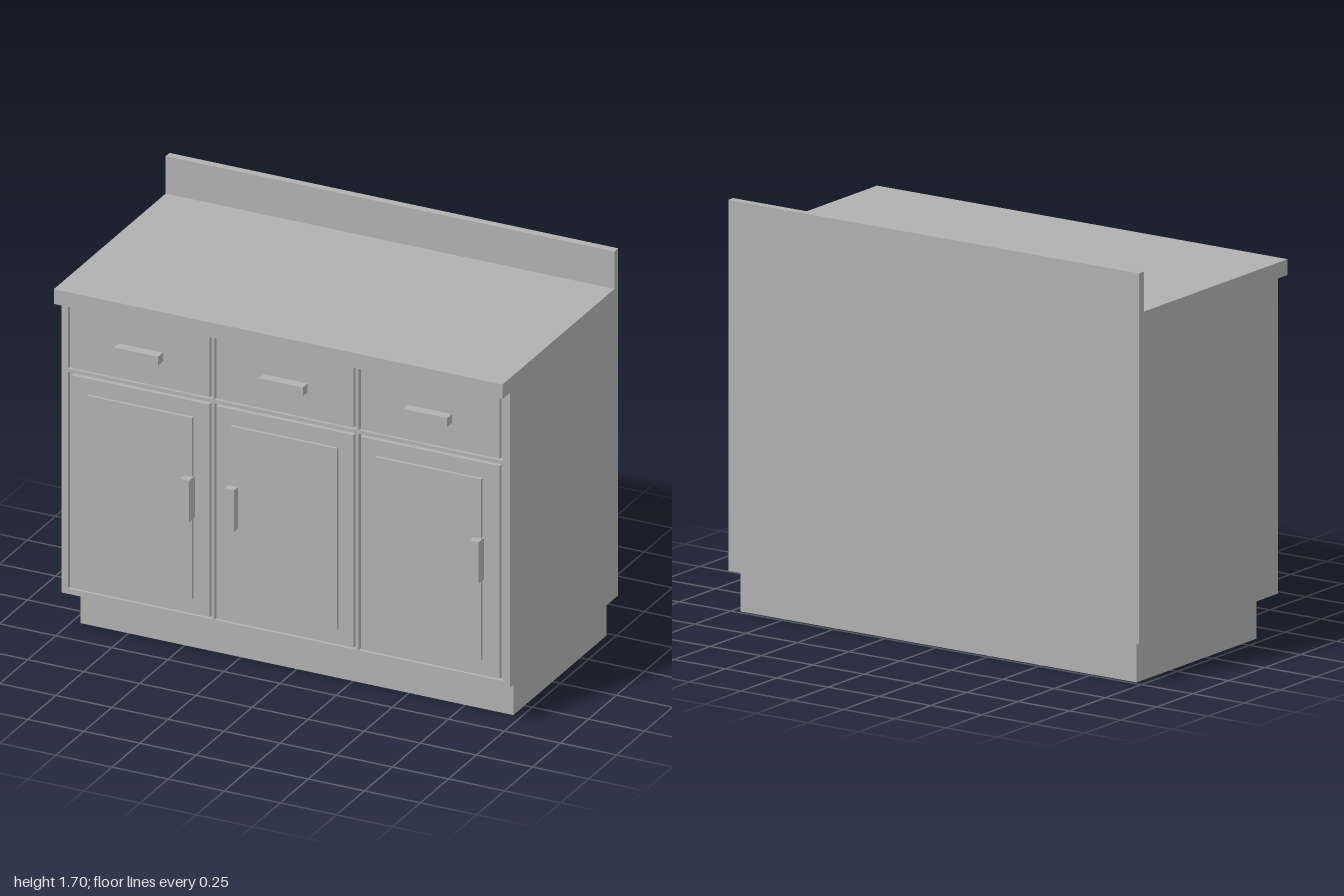
import * as THREE from 'three';

export function createModel() {
  const model = new THREE.Group();
  model.name = 'baseCabinet';
  const grey = new THREE.MeshStandardMaterial({ color: 0xb0b0b0 });
  grey.name = 'grey';
  const greyOpen = grey.clone();
  greyOpen.side = THREE.DoubleSide;

  // Box given by its minimum and maximum on each axis
  function box(name, x0, x1, y0, y1, z0, z1, parent = model) {
    const mesh = new THREE.Mesh(new THREE.BoxGeometry(x1 - x0, y1 - y0, z1 - z0), grey);
    mesh.position.set((x0 + x1) / 2, (y0 + y1) / 2, (z0 + z1) / 2);
    mesh.name = name;
    parent.add(mesh);
    return mesh;
  }

  function rectangle(PathType, x0, x1, y0, y1) {
    const p = new PathType();
    p.moveTo(x0, y0);
    p.lineTo(x1, y0);
    p.lineTo(x1, y1);
    p.lineTo(x0, y1);
    p.closePath();
    return p;
  }

  const back = -0.517, recess = 0.43, face = 0.45;

  // Carcass, worktop and upstand
  box('carcass', -1, 1, 0.17, 1.47, back, recess);
  box('worktop', -1, 1, 1.47, 1.535, back, 0.517);
  box('backsplash', -1, 1, 1.535, 1.7, back, -0.483);

  // Toe kick: four thin walls, open underneath
  const kick = new THREE.Group();
  kick.name = 'toeKick';
  model.add(kick);
  const kx = 0.965, kz0 = -0.483, kz1 = 0.35, kh = 0.17;
  function kickWall(name, width, x, z, turn) {
    const wall = new THREE.Mesh(new THREE.PlaneGeometry(width, kh), greyOpen);
    wall.position.set(x, kh / 2, z);
    wall.rotation.y = turn;
    wall.name = name;
    kick.add(wall);
  }
  kickWall('kickFront', 2 * kx, 0, kz1, 0);
  kickWall('kickBack', 2 * kx, 0, kz0, Math.PI);
  for (const s of [-1, 1]) {
    kickWall(s > 0 ? 'kickLeft' : 'kickRight', kz1 - kz0, s * kx, (kz0 + kz1) / 2, s * Math.PI / 2);
  }

  // Three bays: opening, door, raised panel and handle extents in x
  const bays = [
    { open: [-0.97, -0.328], door: [-0.955, -0.34], panel: [-0.88, -0.41], pull: -0.425, drawerPull: -0.645 },
    { open: [-0.318, 0.312], door: [-0.308, 0.302], panel: [-0.24, 0.235], pull: -0.225, drawerPull: 0 },
    { open: [0.325, 0.968], door: [0.335, 0.953], panel: [0.405, 0.877], pull: 0.865, drawerPull: 0.643 },
  ];

  // Face frame with one drawer hole and one door hole per bay
  const frame = rectangle(THREE.Shape, -1, 1, 0.17, 1.47);
  for (const { open } of bays) {
    frame.holes.push(rectangle(THREE.Path, open[0], open[1], 1.163, 1.443));
    frame.holes.push(rectangle(THREE.Path, open[0], open[1], 0.193, 1.148));
  }
  const frameMesh = new THREE.Mesh(
    new THREE.ExtrudeGeometry(frame, { depth: face - recess, bevelEnabled: false }), grey);
  frameMesh.position.z = recess;
  frameMesh.name = 'faceFrame';
  model.add(frameMesh);

  // Inset drawers and doors, separated from the frame by a narrow groove
  bays.forEach(({ door, panel, pull, drawerPull }, i) => {
    const bay = new THREE.Group();
    bay.name = 'bay' + (i + 1);
    model.add(bay);
    box('drawerFront', door[0], door[1], 1.17, 1.437, recess, face, bay);
    box('drawerHandle', drawerPull - 0.098, drawerPull + 0.098, 1.283, 1.322, face, 0.493, bay);
    box('door', door[0], door[1], 0.2, 1.137, recess, face, bay);
    box('doorPanel', panel[0], panel[1], 0.27, 1.068, face, 0.463, bay);
    box('doorHandle', pull - 0.02, pull + 0.02, 0.625, 0.808, face, 0.5, bay);
  });

  return model;
}
